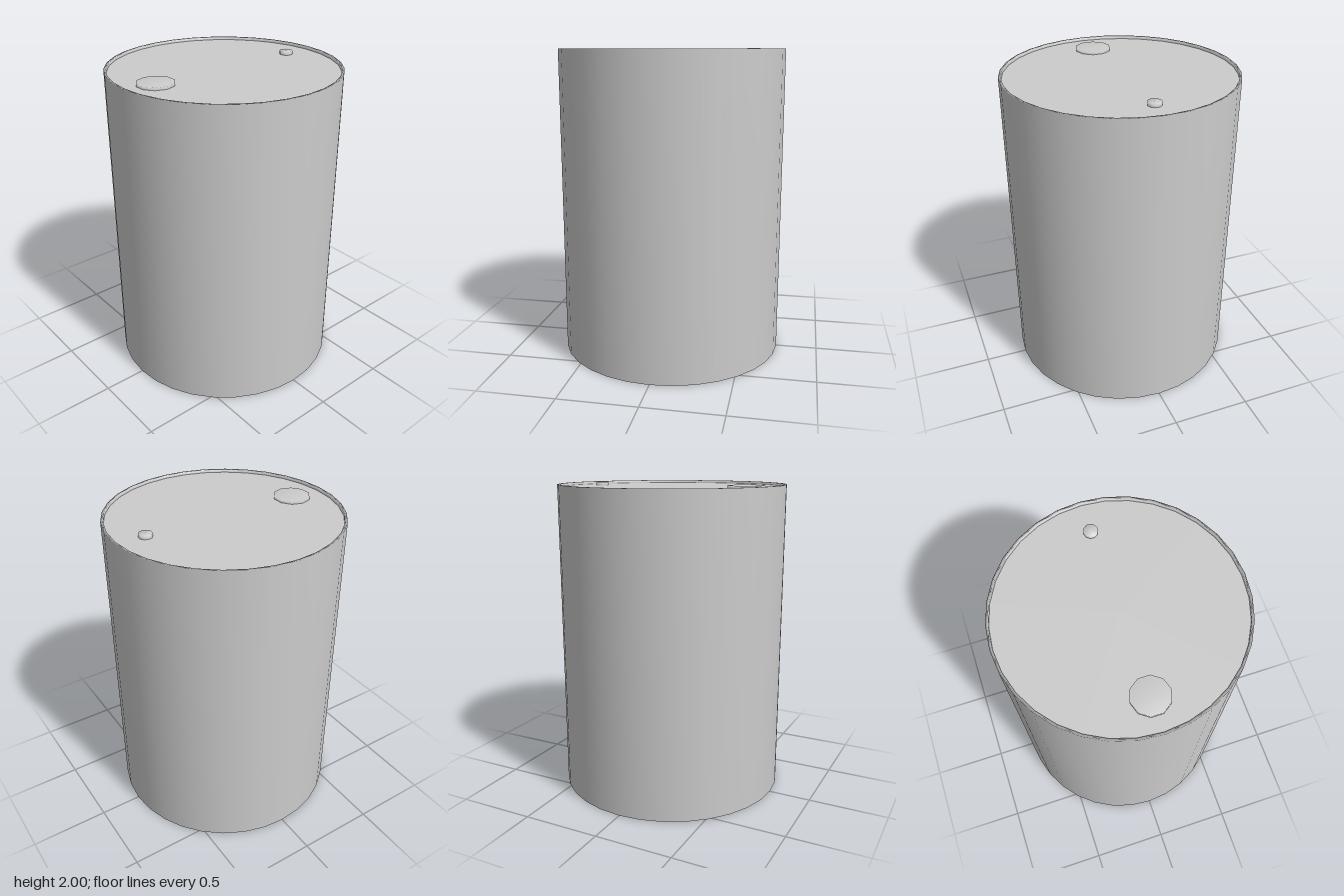
import * as THREE from 'three';

const material = new THREE.MeshStandardMaterial({ color: 0xcccccc });

// Turned part with normals blended across its profile corners
function turned(name, profile, sides) {
  const points = profile.map(([r, y]) => new THREE.Vector2(r, y));
  const mesh = new THREE.Mesh(new THREE.LatheGeometry(points, sides), material);
  mesh.name = name;
  return mesh;
}

export function createModel() {
  const group = new THREE.Group();
  group.name = 'drum';

  const sides = 32, radius = 0.73, inner = 0.714;
  const top = 1.996, lid = 1.978, base = 0.018;

  // Wall with a thin raised rim at both ends
  group.add(turned('drumWall', [
    [inner, base], [inner, 0], [radius, 0],
    [radius, top], [inner, top], [inner, lid],
  ], sides));

  // Recessed flat ends
  const addEnd = (name, y, tilt) => {
    const end = new THREE.Mesh(new THREE.CircleGeometry(inner, sides), material);
    end.name = name;
    end.rotation.x = tilt;
    end.position.y = y;
    group.add(end);
  };
  addEnd('lid', lid, -Math.PI / 2);
  addEnd('base', base, Math.PI / 2);

  // Two bungs on opposite sides of the lid
  const addBung = (name, x, r, bungTop) => {
    const bung = turned(name, [[r, lid], [r, bungTop], [0, bungTop]], 10);
    bung.position.x = x;
    group.add(bung);
  };
  addBung('largeBung', -0.508, 0.115, 1.995);
  addBung('smallBung', 0.528, 0.042, 2.0);

  return group;
}
